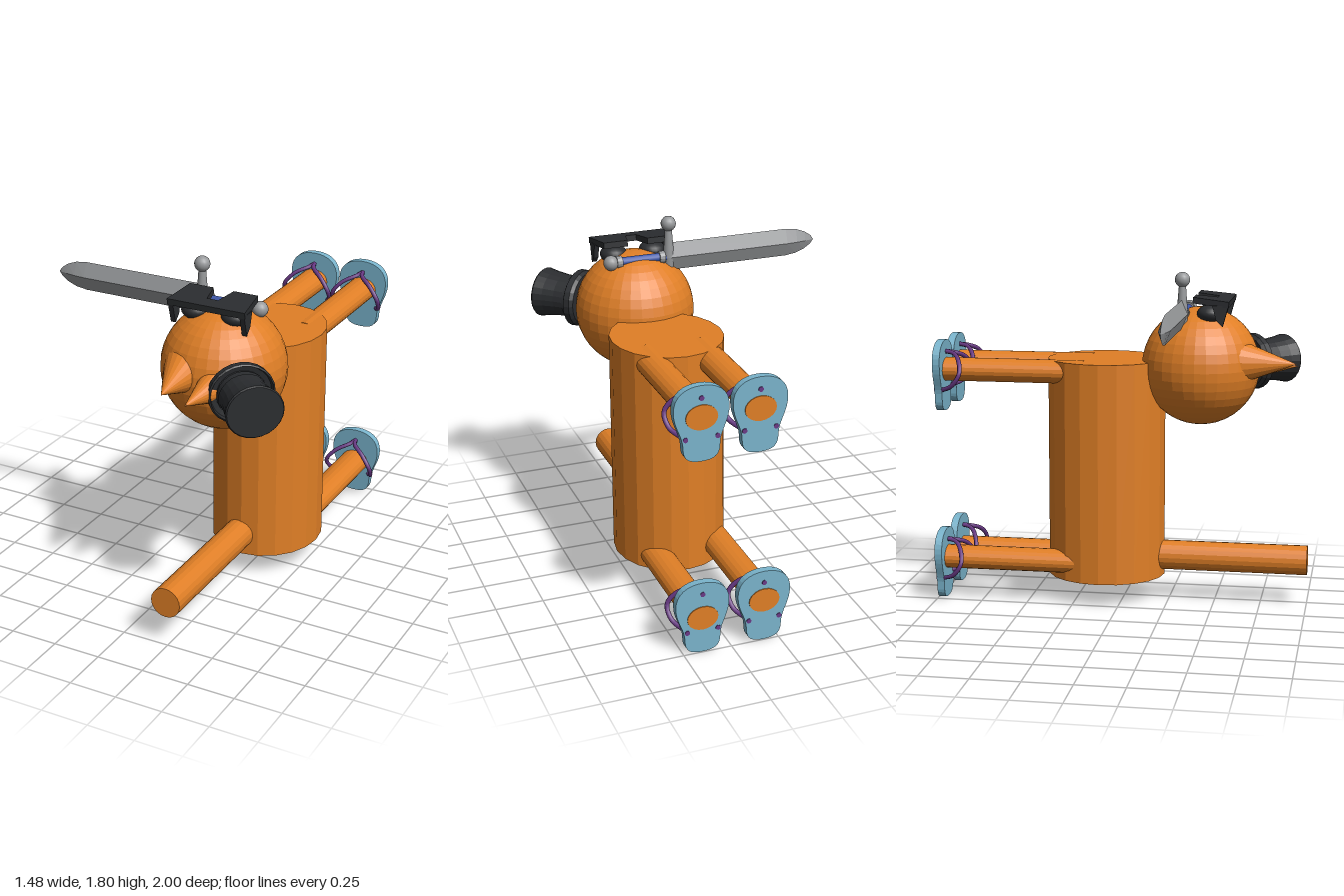
import * as THREE from 'three';

const mat = (color, flatShading = false, side = THREE.FrontSide) =>
  new THREE.MeshStandardMaterial({ color, flatShading, side });
const orange = mat(0xe07f26, true);
const black = mat(0x2b2d30);
const blackFlat = mat(0x2b2d30, true);
const steel = mat(0x97999b, true);
const steelSmooth = mat(0x97999b);
const blue = mat(0x3d56a6);
const teal = mat(0x7ab4cc);
const purple = mat(0x6a3a86);
const V = (x, y, z) => new THREE.Vector3(x, y, z);

function add(parent, name, geometry, material, x = 0, y = 0, z = 0) {
  const mesh = new THREE.Mesh(geometry, material);
  mesh.name = name;
  mesh.position.set(x, y, z);
  parent.add(mesh);
  return mesh;
}

// Round bar between two points; r0 at the start, r1 at the end
function bar(parent, name, a, b, r0, r1, sides, material) {
  const d = b.clone().sub(a);
  const mid = a.clone().add(b).multiplyScalar(0.5);
  const mesh = add(parent, name, new THREE.CylinderGeometry(r1, r0, d.length(), sides), material, mid.x, mid.y, mid.z);
  mesh.quaternion.setFromUnitVectors(V(0, 1, 0), d.normalize());
  return mesh;
}

// Leg running backwards, with a sandal on its end
function makeLeg(x, legY, soleY) {
  const g = new THREE.Group();
  g.name = 'leg';
  const rod = new THREE.CylinderGeometry(0.08, 0.08, 0.8, 20).rotateX(Math.PI / 2).scale(1, 0.79, 1);
  add(g, 'legRod', rod, orange, x, legY, -0.6);

  const sandal = new THREE.Group();
  sandal.name = 'sandal';
  sandal.position.set(x, soleY, 0);
  g.add(sandal);

  // Sole: narrow heel at the bottom, wide toe at the top
  const s = new THREE.Shape();
  s.moveTo(0, 0.005);
  s.bezierCurveTo(0.06, 0.005, 0.092, 0.02, 0.092, 0.08);
  s.bezierCurveTo(0.092, 0.15, 0.138, 0.19, 0.138, 0.27);
  s.bezierCurveTo(0.138, 0.35, 0.08, 0.388, 0, 0.388);
  s.bezierCurveTo(-0.08, 0.388, -0.138, 0.35, -0.138, 0.27);
  s.bezierCurveTo(-0.138, 0.19, -0.092, 0.15, -0.092, 0.08);
  s.bezierCurveTo(-0.092, 0.02, -0.06, 0.005, 0, 0.005);
  add(sandal, 'sole', new THREE.ExtrudeGeometry(s, { depth: 0.04, bevelEnabled: false, curveSegments: 8 }), teal, 0, 0, -0.995);

  // Straps from the toe post to both sides, with plugs under the sole
  const plug = new THREE.CylinderGeometry(0.013, 0.013, 0.006, 10).rotateX(Math.PI / 2);
  add(sandal, 'toePlug', plug, purple, 0, 0.325, -0.996);
  for (const side of [-1, 1]) {
    const path = new THREE.CatmullRomCurve3([
      V(0, 0.325, -0.96), V(side * 0.015, 0.318, -0.91), V(side * 0.08, 0.285, -0.865),
      V(side * 0.132, 0.22, -0.85), V(side * 0.125, 0.155, -0.895), V(side * 0.085, 0.125, -0.96),
    ]);
    add(sandal, 'strap', new THREE.TubeGeometry(path, 20, 0.012, 6), purple);
    add(sandal, 'sidePlug', plug, purple, side * 0.08, 0.125, -0.996);
  }
  return g;
}

function makeHat() {
  const profile = [
    [0, 0], [0.15, 0], [0.165, 0.018], [0.166, 0.05], [0.157, 0.056], [0.15, 0.035],
    [0.122, 0.03], [0.12, 0.075], [0.123, 0.14], [0.132, 0.205], [0.144, 0.258], [0.138, 0.266], [0, 0.266],
  ].map(([r, y]) => new THREE.Vector2(r, y));
  const hat = new THREE.Group();
  hat.name = 'hat';
  const body = add(hat, 'hatBody', new THREE.LatheGeometry(profile, 24), blackFlat);
  body.scale.z = 0.92;
  const band = add(hat, 'hatBand', new THREE.CylinderGeometry(0.126, 0.125, 0.04, 24, 1, true), black, 0, 0.065, 0);
  band.scale.z = 0.92;
  hat.position.set(0.455, 1.29, 0.64);
  hat.rotation.set(Math.PI / 2, 0.76, 0, 'YXZ');
  return hat;
}

// Sunglasses lying flat on top of the head
function makeGlasses() {
  const g = new THREE.Group();
  g.name = 'glasses';
  const half = [[0.03, -0.04], [0.055, 0.075], [0.185, 0.075], [0.21, -0.115]];
  const s = new THREE.Shape();
  s.moveTo(-0.21, -0.115);
  s.lineTo(0.21, -0.115);
  for (const [x, y] of [half[2], half[1], half[0]]) s.lineTo(x, y);
  for (const [x, y] of half.slice(0, 3)) s.lineTo(-x, y);
  const frame = new THREE.ExtrudeGeometry(s, { depth: 0.032, bevelEnabled: false }).rotateX(-Math.PI / 2);
  add(g, 'frame', frame, blackFlat).rotation.x = 0.11;
  for (const side of [-1, 1]) {
    // Temple stub, tapering downwards
    const t = new THREE.Shape();
    t.moveTo(-0.115, 0);
    t.lineTo(-0.03, 0);
    t.lineTo(-0.05, -0.075);
    t.lineTo(-0.085, -0.11);
    const stub = new THREE.ExtrudeGeometry(t, { depth: 0.026, bevelEnabled: false });
    add(g, 'temple', stub.rotateY(Math.PI / 2), blackFlat, side * 0.193 - 0.013, 0, 0);
    const lens = add(g, 'lens', new THREE.SphereGeometry(0.072, 20, 12), black, side * 0.108, -0.052, 0.012);
    lens.scale.set(1, 0.65, 1);
  }
  g.position.set(0.24, 1.638, 0.46);
  return g;
}

function makeSword() {
  const g = new THREE.Group();
  g.name = 'sword';
  // Blade: diamond cross-sections [x, half height, half thickness]
  const rings = [[0.085, 0.075, 0.03], [-0.58, 0.075, 0.03], [-0.64, 0.067, 0.025], [-0.69, 0.048, 0.016], [-0.725, 0.024, 0.007], [-0.742, 0.001, 0.001]];
  const pos = [], idx = [];
  for (const [x, h, t] of rings) pos.push(x, h, 0, x, 0, t, x, -h, 0, x, 0, -t);
  for (let i = 0; i < rings.length - 1; i++)
    for (let j = 0; j < 4; j++) {
      const a = i * 4 + j, b = i * 4 + (j + 1) % 4;
      idx.push(a, a + 4, b, b, a + 4, b + 4);
    }
  const blade = new THREE.BufferGeometry();
  blade.setAttribute('position', new THREE.Float32BufferAttribute(pos, 3));
  blade.setIndex(idx);
  blade.computeVertexNormals();
  add(g, 'blade', blade, mat(0x97999b, true, THREE.DoubleSide));

  const ball = new THREE.SphereGeometry(0.04, 16, 12);
  for (const side of [-1, 1]) {
    bar(g, 'guardArm', V(0.09, 0, 0), V(0.09, side * 0.17, 0), 0.03, 0.017, 12, steelSmooth);
    add(g, 'guardBall', ball, steelSmooth, 0.09, side * 0.18, 0);
  }
  bar(g, 'grip', V(0.09, 0, 0), V(0.38, 0, 0), 0.024, 0.024, 14, blue);
  for (const x of [0.13, 0.365])
    bar(g, 'gripCollar', V(x - 0.015, 0, 0), V(x + 0.015, 0, 0), 0.033, 0.033, 14, steel);
  add(g, 'pommel', ball, steelSmooth, 0.408, 0, 0);
  g.position.set(0, 1.585, 0.328);
  return g;
}

export function createModel() {
  const model = new THREE.Group();

  // Body and head
  const body = add(model, 'body', new THREE.CylinderGeometry(0.29, 0.29, 1.19, 20), orange, 0.257, 0.727, -0.1);
  body.scale.z = 1.1;
  add(model, 'head', new THREE.SphereGeometry(0.315, 32, 20), orange, 0.255, 1.293, 0.41);

  // Twin beak cones
  bar(model, 'beakCone', V(0.155, 1.33, 0.58), V(0.19, 1.32, 0.925), 0.135, 0, 20, orange);
  bar(model, 'beakCone', V(0.345, 1.3, 0.58), V(0.315, 1.29, 0.925), 0.115, 0, 20, orange);

  // Front pole
  bar(model, 'frontPole', V(0.24, 0.245, 0.1), V(0.24, 0.245, 1), 0.08, 0.08, 20, orange);

  // Four legs with sandals
  for (const [x, legY, soleY] of [[0.11, 1.262, 1.033], [0.404, 1.262, 1.033], [0.078, 0.228, 0], [0.4, 0.195, 0]])
    model.add(makeLeg(x, legY, soleY));

  model.add(makeHat(), makeGlasses(), makeSword());
  return model;
}
